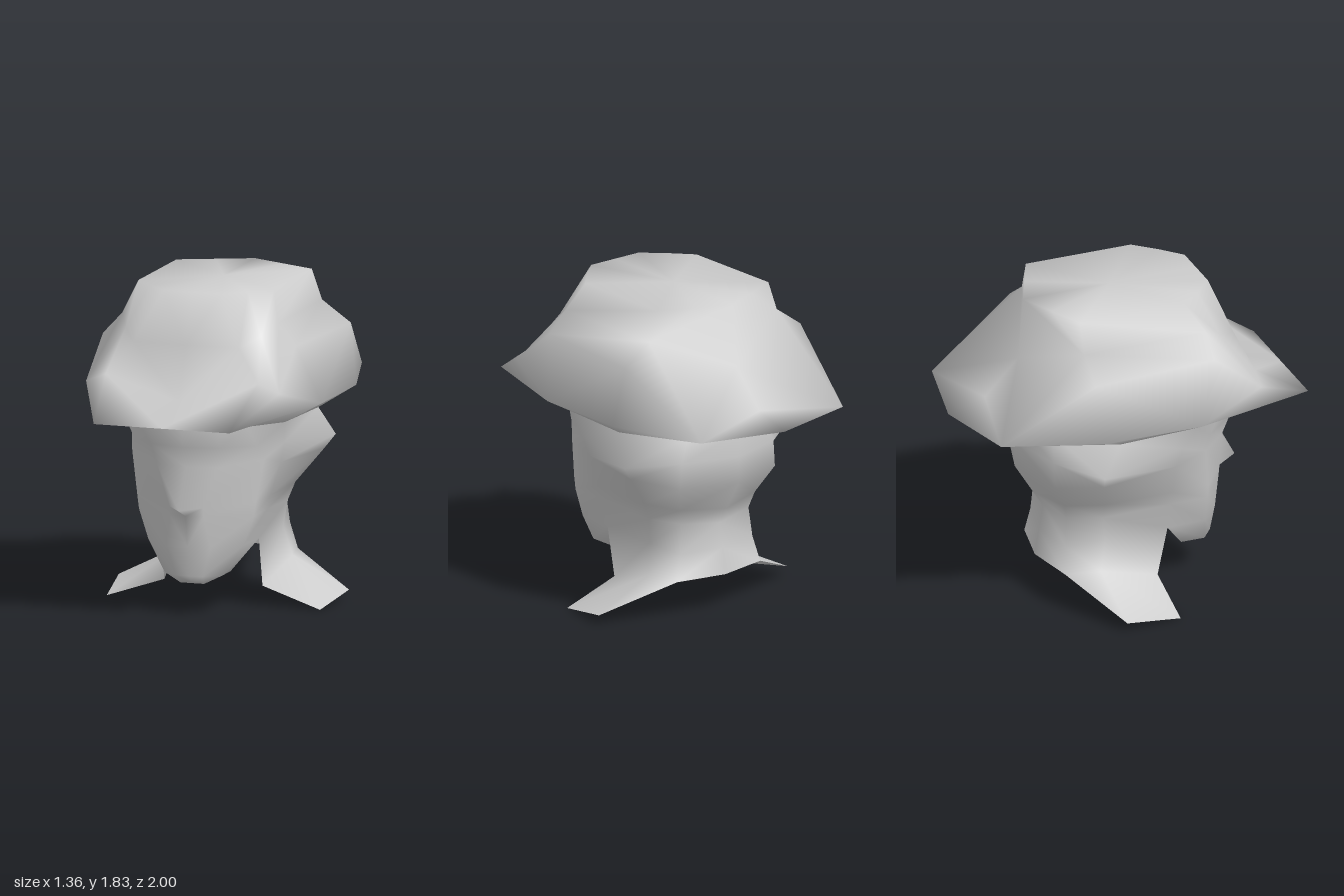
import * as THREE from 'three';
import { mergeVertices } from 'three/addons/utils/BufferGeometryUtils.js';

const clay = new THREE.MeshStandardMaterial({ color: 0xcccccc, side: THREE.DoubleSide });
clay.name = 'light grey';

// Skins half cross-sections (front centre, round the left side, to back centre)
// ordered top to bottom, mirrors them, and welds everything smooth.
function skin(name, ...grids) {
  const pos = [];
  const tri = (a, b, c) => {
    const [A, B, C] = [a, b, c].map((p) => new THREE.Vector3(...p));
    if (B.clone().sub(A).cross(C.clone().sub(A)).length() < 1e-6) return;
    pos.push(...a, ...b, ...c);
    for (const [x, y, z] of [a, c, b]) pos.push(x === 0 ? 0 : -x, y, z);
  };
  for (const rows of grids) {
    for (let r = 0; r < rows.length - 1; r++) {
      for (let c = 0; c < rows[r].length - 1; c++) {
        const a = rows[r][c], b = rows[r][c + 1], d = rows[r + 1][c], e = rows[r + 1][c + 1];
        tri(a, d, b);
        tri(b, d, e);
      }
    }
  }
  let geo = new THREE.BufferGeometry();
  geo.setAttribute('position', new THREE.Float32BufferAttribute(pos, 3));
  geo = mergeVertices(geo, 1e-4);
  geo.computeVertexNormals();
  const mesh = new THREE.Mesh(geo, clay);
  mesh.name = name;
  return mesh;
}

const level = (y, pts) => pts.map(([x, z]) => [x, y, z]);
const pole = (n, y, z) => Array.from({ length: n }, () => [0, y, z]);

export function createModel() {
  const group = new THREE.Group();
  group.name = 'headWithHat';

  // Ring where the hat sits on the head
  const hatLine = level(1.09, [[0, 0.66], [0.2, 0.62], [0.33, 0.5], [0.48, 0.3], [0.51, -0.17], [0.27, -0.48], [0, -0.6]]);

  // Hat: flat crown, side shoulders, then the turned brim and its underside.
  // Repeated corners close a quad to a single triangle.
  const crown = [
    pole(7, 1.83, -0.03),
    level(1.83, [[0, 0.49], [0.17, 0.49], [0.29, 0.38], [0.4, 0.26], [0.4, -0.37], [0.2, -0.46], [0, -0.55]]),
    [[0, 1.55, 0.6], [0.31, 1.55, 0.59], [0.4, 1.6, 0.47], [0.46, 1.66, 0.36], [0.46, 1.66, -0.37], [0.46, 1.66, -0.37], [0, 1.47, -0.58]],
    [[0, 1.25, 0.71], [0.45, 1.37, 0.66], [0.57, 1.32, 0.65], [0.57, 1.54, 0.37], [0.63, 1.54, -0.37], [0.51, 1.21, -0.89], [0, 1.265, -0.78]],
  ];
  const brim = [
    crown[3],
    [[0, 1.15, 1], [0.4, 1.15, 1], [0.68, 1.2, 0.25], [0.68, 1.2, 0.25], [0.68, 1.2, -0.32], [0.51, 1.21, -0.89], [0, 1.2, -1]],
    hatLine,
  ];
  group.add(skin('hat', crown, brim));

  // Head: brow, eyes, nose and cheeks
  const skull = [
    hatLine,
    [[0, 0.98, 0.66], [0.2, 0.98, 0.61], [0.36, 0.97, 0.43], [0.45, 0.96, 0.23], [0.57, 0.92, -0.29], [0.33, 0.95, -0.5], [0, 0.95, -0.6]],
    [[0, 0.86, 0.6], [0.18, 0.86, 0.57], [0.39, 0.89, 0.39], [0.42, 0.84, 0.2], [0.51, 0.84, -0.27], [0.34, 0.8, -0.5], [0, 0.8, -0.6]],
    [[0, 0.63, 0.72], [0.1, 0.63, 0.59], [0.35, 0.65, 0.42], [0.36, 0.65, 0.2], [0.36, 0.65, -0.21], [0.27, 0.64, -0.41], [0, 0.62, -0.49]],
    [[0, 0.58, 0.6], [0.1, 0.58, 0.585], [0.34, 0.57, 0.42], [0.34, 0.57, 0.2], [0.32, 0.55, -0.2], [0.24, 0.55, -0.39], [0, 0.52, -0.43]],
  ];
  // Jaw, chin and the sloping underside
  const jaw = [
    skull[4].slice(0, 4),
    [[0, 0.4, 0.57], [0.13, 0.4, 0.55], [0.28, 0.4, 0.43], [0.29, 0.4, 0.2]],
    [[0, 0.23, 0.55], [0.08, 0.23, 0.54], [0.17, 0.23, 0.47], [0.29, 0.4, 0.2]],
    [[0, 0.18, 0.49], [0.07, 0.18, 0.49], [0.17, 0.23, 0.33], [0.29, 0.4, 0.2]],
    [[0, 0.24, 0.32], [0.08, 0.24, 0.32], [0.17, 0.23, 0.33], [0.29, 0.4, 0.2]],
    [[0, 0.4, 0.2], [0.1, 0.4, 0.2], [0.2, 0.4, 0.2], [0.29, 0.4, 0.2]],
  ];
  // Open neck, flaring into the two shoulder flaps
  const neck = [
    skull[4].slice(3),
    [[0.29, 0.4, 0.2], [0.3, 0.4, -0.18], [0.26, 0.38, -0.4], [0, 0.38, -0.455]],
    [[0.29, 0.12, 0.14], [0.34, 0.23, -0.22], [0.3, 0.23, -0.42], [0, 0.23, -0.48]],
    [[0.63, 0.005, 0.14], [0.68, 0.06, -0.2], [0.3, 0.23, -0.42], [0, 0.23, -0.48]],
  ];
  group.add(skin('head', skull, jaw, neck));

  // Rest the lowest point on the ground
  const box = new THREE.Box3().setFromObject(group);
  group.position.y -= box.min.y;
  return group;
}
